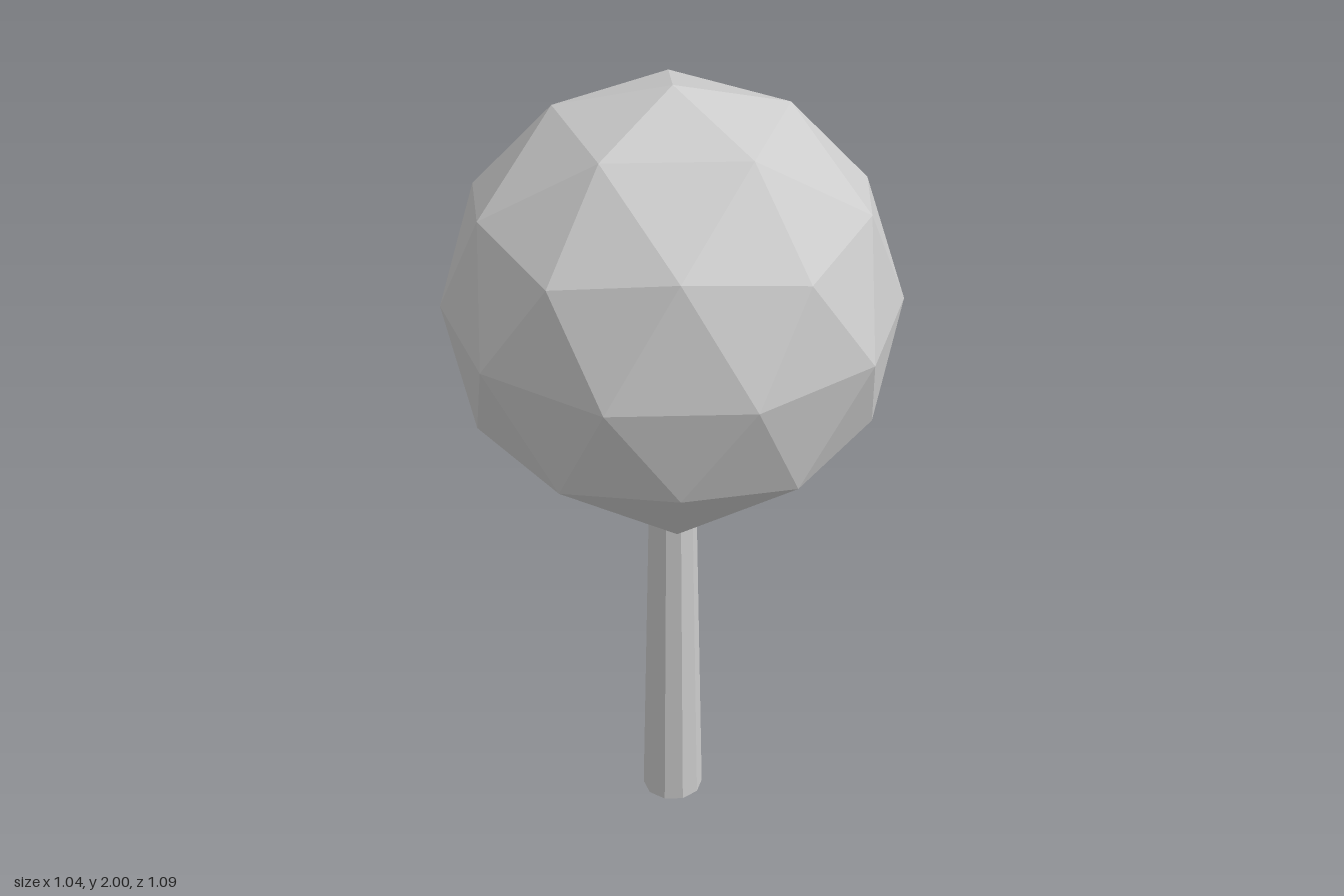
import * as THREE from 'three';

const RADIUS = 0.545;
const CENTRE_Y = 2 - RADIUS;

// Faceted ball: an icosahedron standing on a vertex, split once,
// with the five triangles around the bottom vertex left open.
function crownGeometry() {
  const points = [0, 1, 0, 0, -1, 0];
  const h = 1 / Math.sqrt(5), r = 2 * h;
  for (let k = 0; k < 10; k++) {
    const a = Math.PI + k * Math.PI / 5;
    points.push(r * Math.cos(a), k % 2 ? -h : h, -r * Math.sin(a));
  }
  const faces = [];
  const ring = (k) => 2 + (k % 10);
  for (let k = 0; k < 10; k += 2) {
    const u = ring(k), l = ring(k + 1), u2 = ring(k + 2), l2 = ring(k + 3);
    faces.push(0, u, u2, u, l, u2, l, l2, u2, 1, l2, l);
  }
  const ball = new THREE.PolyhedronGeometry(points, faces, RADIUS, 1);

  const src = ball.attributes.position;
  const kept = [];
  for (let i = 0; i < src.count; i += 3) {
    const touchesBottom = [0, 1, 2].some((j) => src.getY(i + j) < -0.95 * RADIUS);
    if (touchesBottom) continue;
    for (let j = 0; j < 3; j++) kept.push(src.getX(i + j), src.getY(i + j), src.getZ(i + j));
  }
  const geometry = new THREE.BufferGeometry();
  geometry.setAttribute('position', new THREE.Float32BufferAttribute(kept, 3));
  geometry.computeVertexNormals();
  return geometry;
}

export function createModel() {
  const group = new THREE.Group();
  group.name = 'tree';
  const material = new THREE.MeshStandardMaterial({
    color: 0xcccccc, flatShading: true, side: THREE.DoubleSide,
  });

  const crown = new THREE.Mesh(crownGeometry(), material);
  crown.name = 'crown';
  crown.position.y = CENTRE_Y;
  group.add(crown);

  // Tapered ten-sided trunk, open at both ends
  const height = 0.99;
  const trunk = new THREE.Mesh(
    new THREE.CylinderGeometry(0.057, 0.078, height, 10, 1, true), material);
  trunk.name = 'trunk';
  trunk.position.y = height / 2;
  group.add(trunk);

  return group;
}
